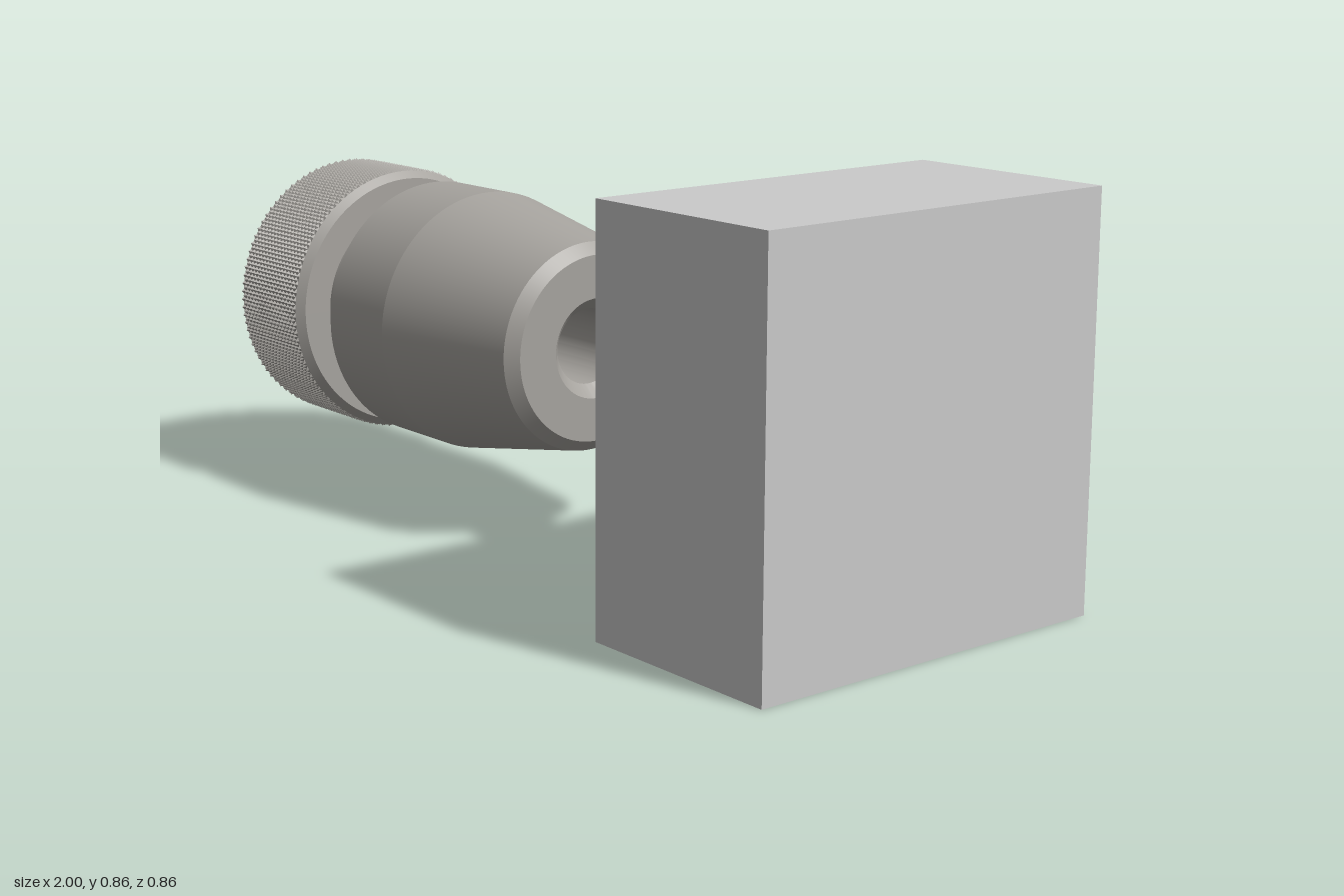
import * as THREE from 'three';
import { toCreasedNormals } from 'three/addons/utils/BufferGeometryUtils.js';

const AXIS_Y = 0.43; // height of the shared horizontal axis

// Solid of revolution about the x axis; profile points are [x, radius]
function turned(profile) {
  const pts = profile.map(([x, r]) => new THREE.Vector2(r, x));
  const geo = new THREE.LatheGeometry(pts, 96).rotateZ(-Math.PI / 2);
  return toCreasedNormals(geo, 0.12);
}

// Surface wound around the x axis; at(i, j) gives [x, radius] for row i, column j
function wound(rows, cols, at, alternate = false) {
  const pos = [], index = [];
  for (let i = 0; i <= rows; i++) {
    for (let j = 0; j <= cols; j++) {
      const [x, r] = at(i, j);
      const t = (j / cols) * Math.PI * 2;
      pos.push(x, r * Math.cos(t), r * Math.sin(t));
    }
  }
  for (let i = 0; i < rows; i++) {
    for (let j = 0; j < cols; j++) {
      const a = i * (cols + 1) + j, b = a + 1, c = a + cols + 1, d = c + 1;
      if (alternate && (i + j) % 2) index.push(a, b, d, a, d, c);
      else index.push(a, b, c, b, d, c);
    }
  }
  const geo = new THREE.BufferGeometry();
  geo.setAttribute('position', new THREE.Float32BufferAttribute(pos, 3));
  geo.setIndex(index);
  return geo;
}

export function createModel() {
  const lightGrey = new THREE.MeshStandardMaterial({ color: 0xcacaca });
  lightGrey.name = 'light grey';
  const warmGrey = new THREE.MeshStandardMaterial({ color: 0xa6a39e });
  warmGrey.name = 'warm grey';

  const model = new THREE.Group();
  model.name = 'knobAndMount';
  const add = (name, geo, material) => {
    const mesh = new THREE.Mesh(geo, material);
    mesh.name = name;
    mesh.position.y = AXIS_Y;
    model.add(mesh);
  };

  // Mounting block with its round flange
  add('block', new THREE.BoxGeometry(0.475, 0.86, 0.86).translate(0.7625, 0, 0), lightGrey);
  add('flange', turned([[0.435, 0], [0.435, 0.308], [0.525, 0.308]]), lightGrey);

  // Stud core
  add('stud', turned([[0.13, 0], [0.13, 0.083], [0.14, 0.083], [0.14, 0.074], [0.435, 0.074]]), lightGrey);

  // Right-hand helical thread, chamfered at the tip
  const pitch = 0.044, start = 0.132, end = 0.382, cols = 48;
  const steps = [[0, 0.079], [0.12, 0.079], [0.5, 0.106], [0.62, 0.106]];
  add('thread', toCreasedNormals(wound(30, cols, (i, j) => {
    const [offset, radius] = steps[i % 4];
    const raw = start + pitch * (Math.floor(i / 4) - 1 + offset + j / cols);
    const x = THREE.MathUtils.clamp(raw, start, end);
    const limit = Math.min(0.083 + (x - start), 0.077 + (end - x) * 2);
    return [x, Math.min(radius, limit)];
  }), 0.4), lightGrey);

  // Tapered sleeve with a chamfered bore
  add('sleeve', turned([
    [-0.64, 0], [-0.64, 0.27], [-0.615, 0.295], [-0.405, 0.295], [-0.04, 0.23],
    [-0.015, 0.205], [-0.015, 0.11], [-0.045, 0.083], [-0.35, 0.083], [-0.38, 0],
  ]), warmGrey);

  // Neck between sleeve and knob
  add('neck', turned([[-0.74, 0.223], [-0.63, 0.223]]), warmGrey);

  // Knob body with chamfered rims
  add('knob', turned([
    [-1, 0], [-1, 0.29], [-0.982, 0.306], [-0.975, 0.3], [-0.755, 0.3],
    [-0.748, 0.306], [-0.73, 0.29], [-0.73, 0],
  ]), warmGrey);

  // Diamond knurling: small pyramids whose grooves follow the cell diagonals
  const rows = 32;
  const knurl = wound(rows, 200, (i, j) => [
    -0.982 + (0.234 * i) / rows,
    (i + j) % 2 ? 0.302 : 0.311,
  ], true).toNonIndexed();
  knurl.computeVertexNormals();
  add('knurling', knurl, warmGrey);

  return model;
}
